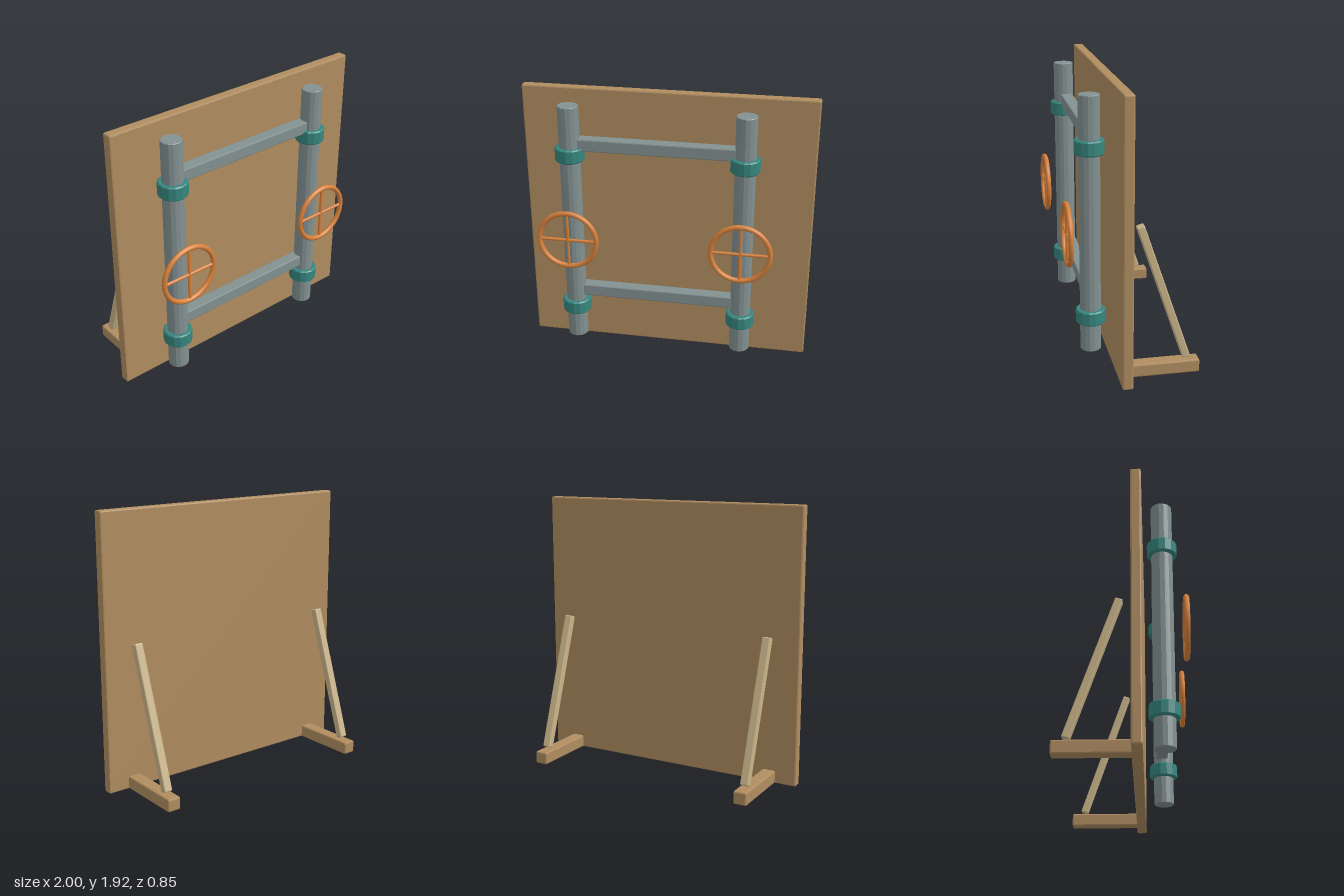
import * as THREE from 'three';
import { RoundedBoxGeometry } from 'three/addons/geometries/RoundedBoxGeometry.js';

const paint = (color, flatShading = true) => new THREE.MeshStandardMaterial({ color, flatShading });

export function createModel() {
  const model = new THREE.Group();
  const wood = paint(0xb08d60);
  const paleWood = paint(0xc9b489);
  const steel = paint(0x839191);
  const teal = paint(0x36867f);
  const orange = paint(0xd9823b, false);

  const add = (name, geometry, material, x, y, z, parent = model) => {
    const mesh = new THREE.Mesh(geometry, material);
    mesh.name = name;
    mesh.position.set(x, y, z);
    parent.add(mesh);
    return mesh;
  };
  // box with small chamfered edges
  const bar = (w, h, d, bevel = 0.008) => new RoundedBoxGeometry(w, h, d, 1, bevel);
  // faceted upright cylinder with chamfered rims
  const drum = (r, h, bevel) => new THREE.LatheGeometry([
    [0, -h / 2], [r - bevel, -h / 2], [r, -h / 2 + bevel],
    [r, h / 2 - bevel], [r - bevel, h / 2], [0, h / 2],
  ].map(([x, y]) => new THREE.Vector2(x, y)), 14);

  // backing board
  add('board', bar(2, 1.92, 0.07, 0.01), wood, 0, 0.96, 0.09);

  // posts with collars and handwheels
  const postZ = 0.257, wheelZ = 0.407;
  for (const [side, x] of [['right', -0.645], ['left', 0.54]]) {
    add(side + 'Post', drum(0.071, 1.75, 0.004), steel, x, 0.965, postZ);
    add(side + 'LowerCollar', drum(0.1, 0.098, 0.008), teal, x, 0.337, postZ);
    add(side + 'UpperCollar', drum(0.1, 0.098, 0.008), teal, x, 1.503, postZ);

    const wheel = new THREE.Group();
    wheel.name = side + 'Handwheel';
    wheel.position.set(x, 0.92, wheelZ);
    model.add(wheel);
    add('rim', new THREE.TorusGeometry(0.2, 0.018, 8, 40), orange, 0, 0, 0, wheel);
    for (const turn of [0, Math.PI / 2]) {
      const spoke = add('spoke', new THREE.CylinderGeometry(0.011, 0.011, 0.4, 8), orange, 0, 0, 0, wheel);
      spoke.rotation.z = turn;
    }
  }

  // cross rails between the posts
  for (const [name, y] of [['lowerRail', 0.463], ['upperRail', 1.572]]) {
    add(name, bar(1.08, 0.086, 0.086), steel, -0.0525, y, 0.245);
  }

  // feet and slanted braces behind the board
  for (const [side, x] of [['right', -0.8], ['left', 0.8]]) {
    add(side + 'Foot', bar(0.095, 0.09, 0.5, 0.01), wood, x, 0.045, -0.175);
    const brace = add(side + 'Brace', bar(0.06, 0.99, 0.052), paleWood, x, 0.575, -0.18);
    brace.rotation.x = 0.328;
  }

  return model;
}
